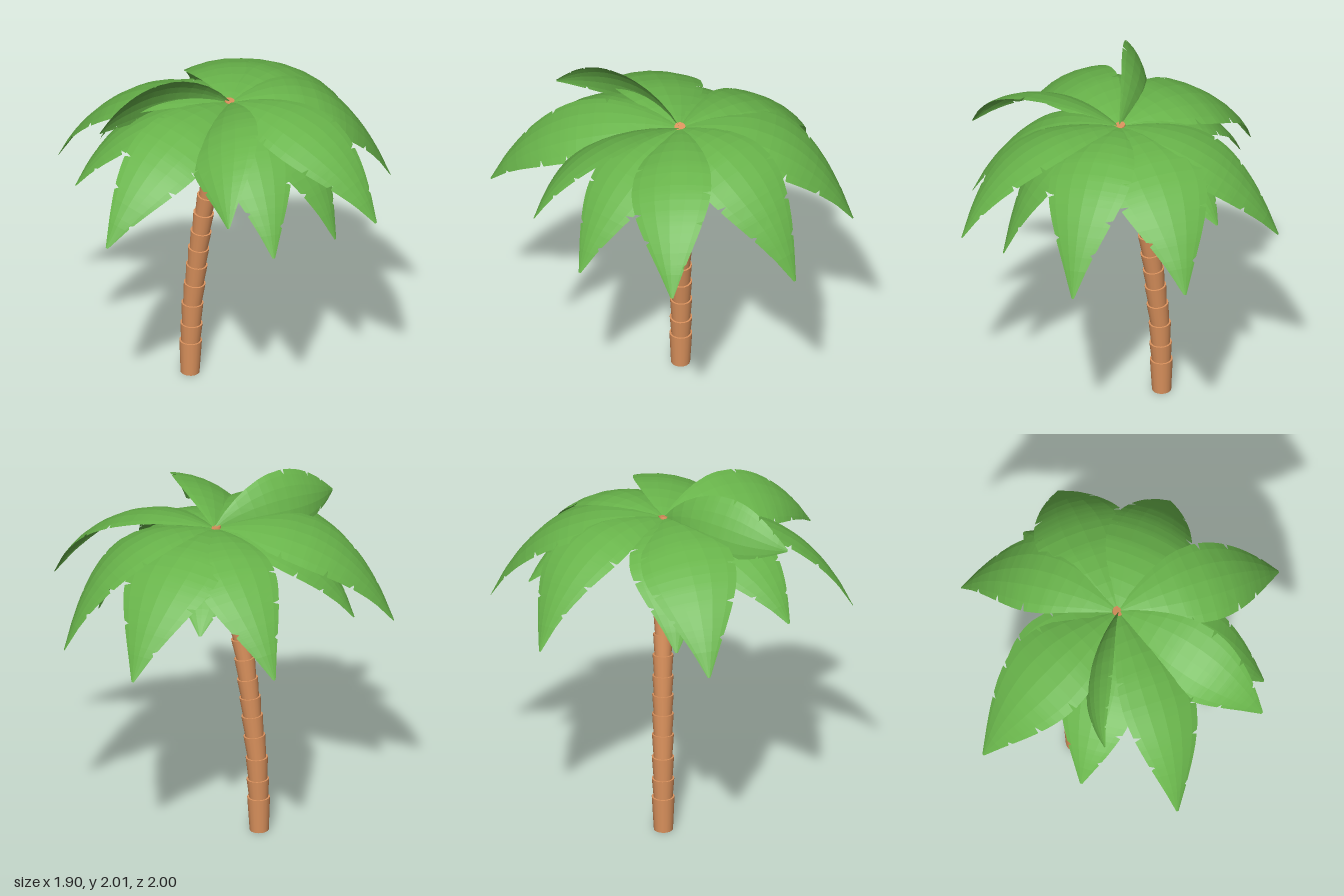
import * as THREE from 'three';

const CROWN = new THREE.Vector3(-0.015, 1.78, -0.045);
const UP = new THREE.Vector3(0, 1, 0);

// Leaf blade: strips along an arched midrib, with narrow V cuts in both edges
function frondGeometry({ tip, width, roll = 0, rise = 0.09, reach = 0.04, bend = 0, seed }) {
  const end = new THREE.Vector3(...tip);
  const flat = new THREE.Vector3(end.x - CROWN.x, 0, end.z - CROWN.z);
  const side = new THREE.Vector3().crossVectors(UP, flat).normalize();
  const p1 = CROWN.clone().addScaledVector(flat, 0.35).setY(CROWN.y + rise);
  const p2 = CROWN.clone().addScaledVector(flat, 0.75).setY(CROWN.y + reach);
  p1.addScaledVector(side, bend);
  p2.addScaledVector(side, bend);
  const rib = new THREE.CubicBezierCurve3(CROWN, p1, p2, end);

  // Rows: regular stations plus three close rows at each cut
  const rows = [];
  for (let i = 0; i <= 12; i++) rows.push({ t: i / 12, cut: 0 });
  [0.38, 0.54, 0.63, 0.71, 0.8, 0.88].forEach((base, i) => {
    const t = base + 0.02 * Math.sin(seed * 2.3 + i * 1.7);
    rows.push({ t: t - 0.01, cut: 0 }, { t, cut: i % 2 ? 1 : -1 }, { t: t + 0.01, cut: 0 });
  });
  rows.sort((a, b) => a.t - b.t);

  const across = [-1, -0.8, -0.4, 0, 0.4, 0.8, 1];
  const pos = [], index = [];
  rows.forEach(({ t, cut }, r) => {
    // Positive roll lifts the edge on the +side
    const tangent = rib.getTangent(t);
    const n = new THREE.Vector3().crossVectors(tangent, side).normalize().applyAxisAngle(tangent, roll);
    const s = new THREE.Vector3().crossVectors(n, tangent);
    const half = 0.007 + width * Math.pow(Math.max(0, Math.sin(Math.PI * t)), 0.93 + 0.1 * t);
    across.forEach((u, c) => {
      const v = cut !== 0 && u === cut ? u * 0.81 : u;
      const p = rib.getPoint(t).addScaledVector(s, v * half).addScaledVector(n, -0.18 * half * v * v);
      pos.push(p.x, p.y, p.z);
      if (r < rows.length - 1 && c < 6) {
        const a = r * 7 + c;
        index.push(a, a + 7, a + 1, a + 1, a + 7, a + 8);
      }
    });
  });
  const geo = new THREE.BufferGeometry();
  geo.setAttribute('position', new THREE.Float32BufferAttribute(pos, 3));
  geo.setIndex(index);
  const out = geo.toNonIndexed();
  out.computeVertexNormals();
  return out;
}

export function createModel() {
  const model = new THREE.Group();
  model.name = 'palmTree';
  const bark = new THREE.MeshStandardMaterial({ color: 0xdb925d });
  bark.name = 'bark';
  const leaf = new THREE.MeshStandardMaterial({ color: 0x69b54b, side: THREE.DoubleSide, flatShading: true });
  leaf.name = 'leafGreen';

  // Trunk: stacked flared segments along a leaning curve
  const trunk = new THREE.Group();
  trunk.name = 'trunk';
  const path = [[0, -0.275], [0.2, -0.272], [0.44, -0.262], [0.8, -0.222], [1.03, -0.19],
    [1.24, -0.15], [1.41, -0.115], [1.6, -0.07], [1.79, -0.015]];
  const centre = (y) => {
    let i = 0;
    while (i < path.length - 2 && y > path[i + 1][0]) i++;
    const [y0, x0] = path[i], [y1, x1] = path[i + 1];
    return new THREE.Vector3(x0 + (x1 - x0) * (y - y0) / (y1 - y0), y, -0.03 - 0.015 * y / 1.79);
  };
  const levels = [0, 0.2, 0.31, 0.44, 0.57, 0.69, 0.8, 0.91, 1.03, 1.145, 1.24, 1.32, 1.41, 1.5, 1.59, 1.68, 1.79];
  for (let i = 0; i < levels.length - 1; i++) {
    const a = centre(levels[i]), b = centre(levels[i + 1]);
    if (i > 0) a.lerp(b, -0.08);
    const y = levels[i + 1];
    const r = 0.064 - 0.006 * y - 0.032 * Math.max(0, y - 1) ** 1.4;
    const dir = b.clone().sub(a);
    const seg = new THREE.Mesh(new THREE.CylinderGeometry(r, r * 0.84, dir.length(), 16), bark);
    seg.position.copy(a).add(b).multiplyScalar(0.5);
    seg.quaternion.setFromUnitVectors(UP, dir.normalize());
    seg.name = 'trunkSegment';
    trunk.add(seg);
  }
  model.add(trunk);

  // Crown of arched fronds
  const crown = new THREE.Group();
  crown.name = 'crown';
  const fronds = [
    { tip: [0.03, 1.25, -1.0], width: 0.265, bend: 0.015, roll: 0.05 },
    { tip: [0.58, 1.21, -0.72], width: 0.23, roll: 0.15, bend: -0.04 },
    { tip: [0.95, 1.33, -0.07], width: 0.215, roll: 0.17, bend: -0.04 },
    { tip: [0.64, 1.25, 0.46], width: 0.2, rise: 0.03, reach: -0.03 },
    { tip: [0.52, 1.52, 0.72], width: 0.2, roll: 0.45, rise: 0.1, reach: 0.09, bend: -0.06 },
    { tip: [-0.1, 1.32, 1.0], width: 0.21, roll: -0.27, bend: 0.08 },
    { tip: [-0.54, 1.42, 0.68], width: 0.21, roll: 0.2, rise: 0.07, reach: 0.02 },
    { tip: [-0.95, 1.28, 0.27], width: 0.25, roll: 0.12 },
    { tip: [-0.8, 1.35, 0.08], width: 0.22, rise: 0.04, reach: 0 },
    { tip: [-0.68, 1.27, -0.68], width: 0.23, bend: -0.1 },
    { tip: [-0.27, 1.49, -0.77], width: 0.18, rise: 0.03, reach: -0.02 },
    { tip: [0.69, 1.15, -0.05], width: 0.2, roll: 0.12, rise: 0.05, reach: 0 },
    { tip: [-0.39, 1.79, 0.66], width: 0.155, roll: 1.1, rise: 0.17, reach: 0.08, bend: -0.12 },
  ];
  fronds.forEach((f, seed) => {
    const mesh = new THREE.Mesh(frondGeometry({ ...f, seed }), leaf);
    mesh.name = 'frond';
    crown.add(mesh);
  });
  model.add(crown);
  return model;
}
